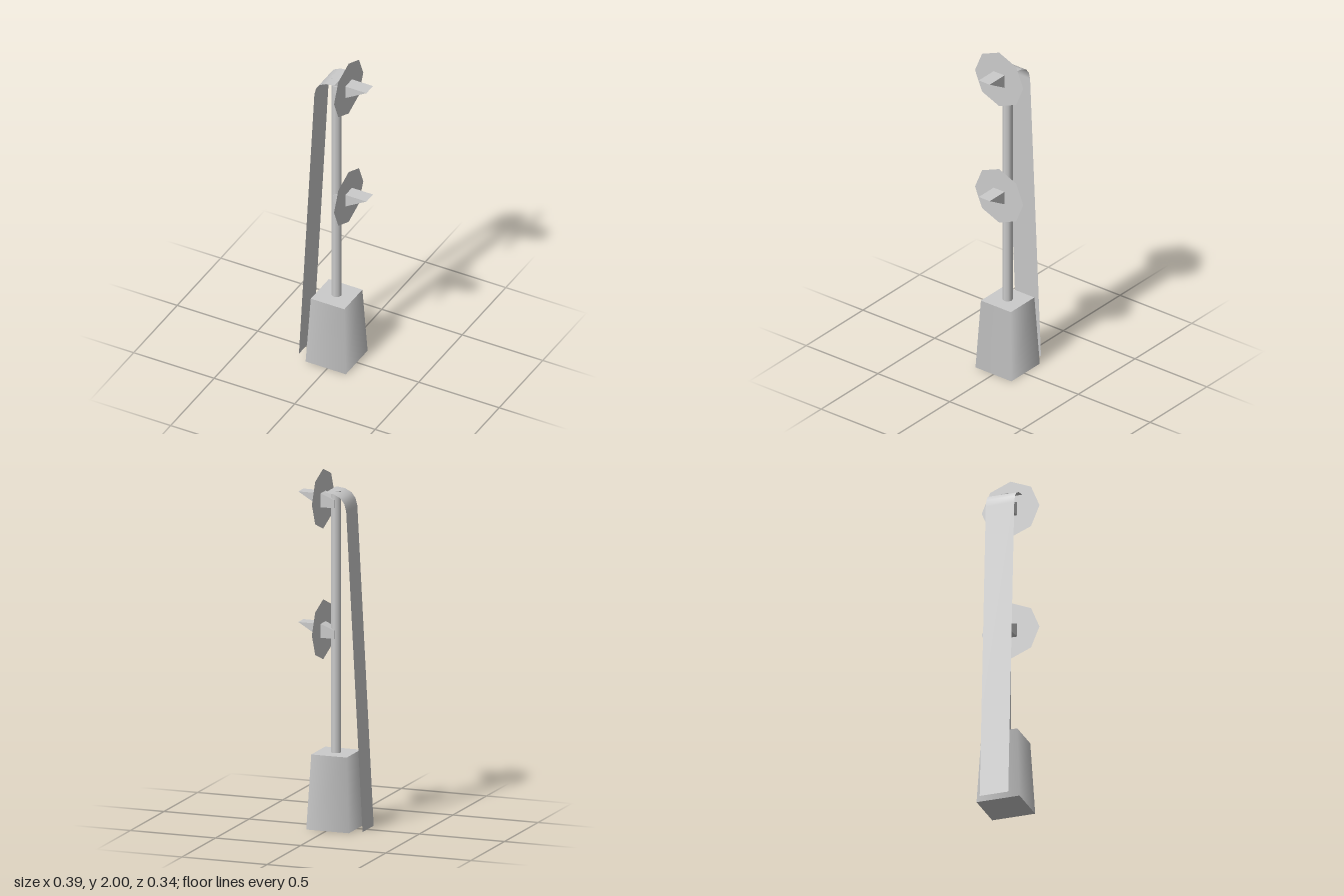
import * as THREE from 'three';

const solid = new THREE.MeshStandardMaterial({ color: 0xcccccc });
const thin = new THREE.MeshStandardMaterial({ color: 0xcccccc, side: THREE.DoubleSide });
const POST_X = -0.01;
const DISC_X = 0.065;

function add(parent, name, geometry, material) {
  const mesh = new THREE.Mesh(geometry, material);
  mesh.name = name;
  parent.add(mesh);
  return mesh;
}

// Non-indexed geometry from flat quads and triangles given as corner lists
function facets(polygons) {
  const points = [];
  for (const p of polygons) {
    for (let i = 1; i < p.length - 1; i++) points.push(...p[0], ...p[i], ...p[i + 1]);
  }
  const g = new THREE.BufferGeometry();
  g.setAttribute('position', new THREE.Float32BufferAttribute(points, 3));
  g.computeVertexNormals();
  return g;
}

// One lamp: octagonal backing disc, tapered bracket and slanted hood
function createLamp(name, y) {
  const lamp = new THREE.Group();
  lamp.name = name;
  lamp.position.y = y;

  const disc = new THREE.CircleGeometry(0.168, 8);
  disc.rotateY(Math.PI / 2);
  disc.translate(DISC_X, 0, 0);
  add(lamp, 'backingDisc', disc, thin);

  // Bracket grows from the post out to the size of the hood
  const start = -0.015;
  const bracket = new THREE.BoxGeometry(1, 1, 1, 3, 1, 1);
  const pos = bracket.attributes.position;
  for (let i = 0; i < pos.count; i++) {
    const t = pos.getX(i) + 0.5;
    const top = THREE.MathUtils.lerp(0.005, 0.038, t);
    pos.setXYZ(i, start + t * (DISC_X - start),
      pos.getY(i) > 0 ? top : -0.04,
      Math.sign(pos.getZ(i)) * THREE.MathUtils.lerp(0.033, 0.038, t));
  }
  bracket.computeVertexNormals();
  add(lamp, 'bracket', bracket, solid);

  // Hood: flat roof with a triangular cheek on each side, open below
  const w = 0.038, top = 0.038, tip = 0.196;
  const cheek = (z) => [[DISC_X, -0.04, z], [tip, top, z], [DISC_X, top, z]];
  add(lamp, 'hood', facets([
    [[DISC_X, top, w], [tip, top, w], [tip, top, -w], [DISC_X, top, -w]],
    cheek(w),
    cheek(-w).reverse(),
  ]), thin);
  return lamp;
}

// Ladder sheet: a thin strip swept across z along a bent side profile
function createLadder() {
  const profile = [[0.02, 1.888], [-0.03, 1.882], [-0.07, 1.862], [-0.092, 1.832], [-0.103, 1.79], [-0.199, 0.003]];
  const strip = new THREE.PlaneGeometry(1, 1, 1, profile.length - 1);
  const pos = strip.attributes.position;
  for (let i = 0; i < pos.count; i++) {
    const [x, y] = profile[Math.floor(i / 2)];
    pos.setXYZ(i, x, y, i % 2 ? 0.083 : -0.083);
  }
  strip.computeVertexNormals();
  return strip;
}

export function createModel() {
  const model = new THREE.Group();
  model.name = 'signalPost';

  // Square tapered foot
  const foot = new THREE.CylinderGeometry(0.104 * Math.SQRT2, 0.125 * Math.SQRT2, 0.418, 4);
  foot.rotateY(Math.PI / 4);
  foot.translate(POST_X, 0.209, 0);
  add(model, 'base', foot, solid);

  // Slim pole
  const pole = new THREE.CylinderGeometry(0.029, 0.029, 1.48, 8);
  pole.translate(POST_X, 1.145, 0);
  add(model, 'pole', pole, solid);

  add(model, 'ladder', createLadder(), thin);

  model.add(createLamp('upperLamp', 1.832), createLamp('lowerLamp', 1.1));
  return model;
}
